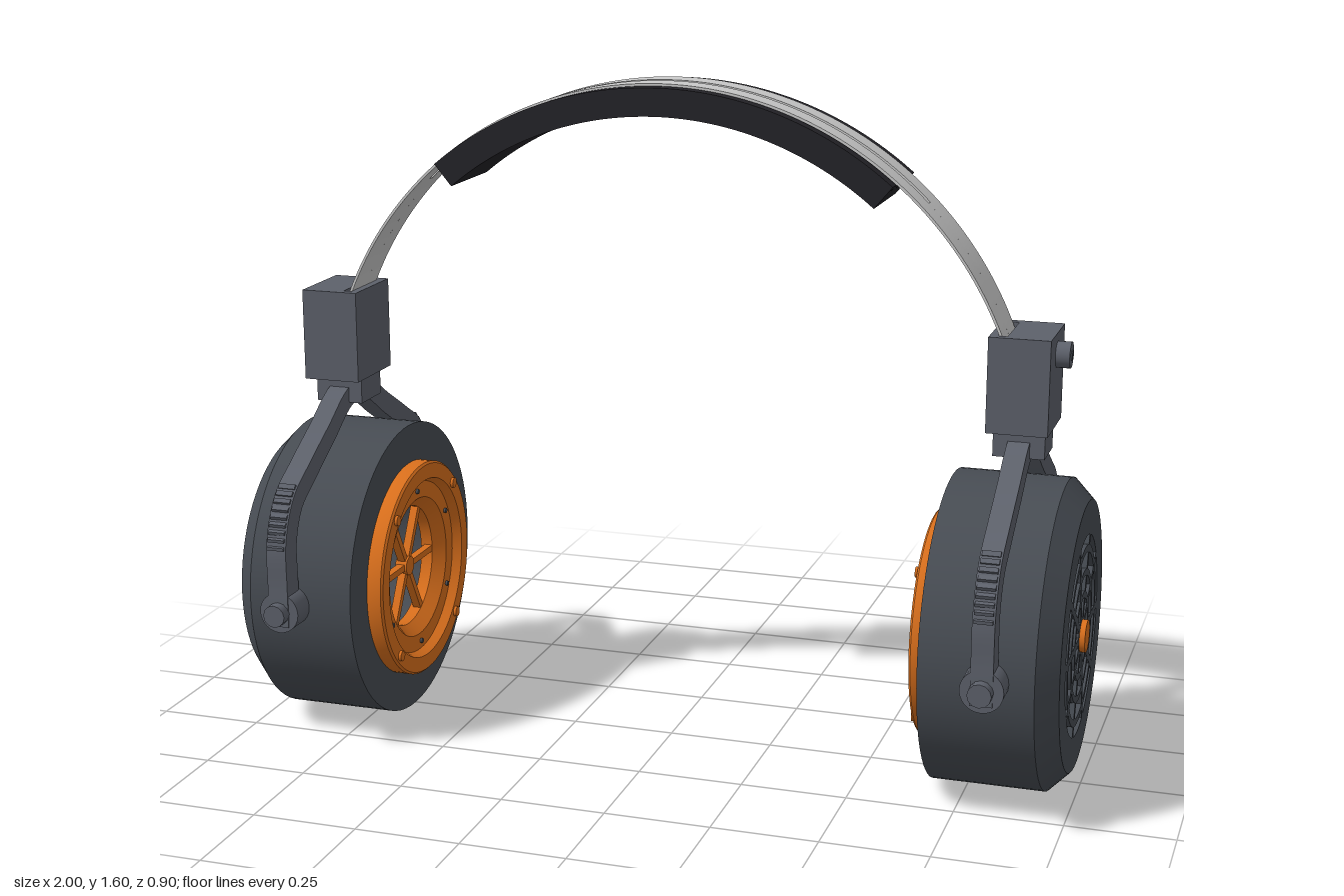
import * as THREE from 'three';
import { toCreasedNormals } from 'three/addons/utils/BufferGeometryUtils.js';

const mat = (color) => new THREE.MeshStandardMaterial({ color });
const steel = mat(0xcccccc), shell = mat(0x474c53), bracket = mat(0x5d616b);
const orange = mat(0xd96f1c), padding = mat(0x242328);
const CY = 0.363; // height of the ear cup axis

function add(parent, name, geo, material, x = 0, y = 0, z = 0) {
  const mesh = new THREE.Mesh(geo, material);
  mesh.name = name;
  mesh.position.set(x, y, z);
  parent.add(mesh);
  return mesh;
}

const box = (w, h, d) => new THREE.BoxGeometry(w, h, d);

// Solid of revolution about the x axis from closed [radius, x] points
function latheX(points) {
  const pts = [...points, points[0]].map(([r, x]) => new THREE.Vector2(r, x));
  return toCreasedNormals(new THREE.LatheGeometry(pts, 72).rotateZ(-Math.PI / 2), 0.4);
}

// Cylinder lying along x or z
const rodX = (r, len, n = 24) => new THREE.CylinderGeometry(r, r, len, n).rotateZ(Math.PI / 2);
const rodZ = (r, len, n = 24) => new THREE.CylinderGeometry(r, r, len, n).rotateX(Math.PI / 2);

// Extrudes a flat shape along +x, starting at x = 0
function extrudeX(shape, depth, curveSegments = 12) {
  const geo = new THREE.ExtrudeGeometry(shape, { depth, bevelEnabled: false, curveSegments });
  return toCreasedNormals(geo.rotateY(Math.PI / 2), 0.4);
}

// Piece of the headband: radii r0-r1, angles from the top in degrees, z range
function arcStrip(r0, r1, a0, a1, z0, z1) {
  const s = THREE.MathUtils.degToRad(90 - a1), e = THREE.MathUtils.degToRad(90 - a0);
  const shape = new THREE.Shape();
  shape.absarc(0, 0, r1, s, e, false);
  shape.absarc(0, 0, r0, e, s, true);
  const geo = new THREE.ExtrudeGeometry(shape, { depth: z1 - z0, bevelEnabled: false, curveSegments: 48 });
  return toCreasedNormals(geo.translate(0, 0.74, z0), 0.4);
}

// Front disc pierced by rings of slots between ten spokes
function grilleGeometry() {
  const disc = new THREE.Shape().absarc(0, 0, 0.315, 0, Math.PI * 2, false);
  const step = Math.PI / 5, half = 0.009;
  for (const [r0, r1] of [[0.045, 0.088], [0.103, 0.14], [0.155, 0.193], [0.21, 0.234]]) {
    for (let i = 0; i < 10; i++) {
      const a = i * step, b = a + step, d0 = half / r0, d1 = half / r1;
      const hole = new THREE.Path();
      hole.absarc(0, 0, r1, a + d1, b - d1, false);
      hole.absarc(0, 0, r0, b - d0, a + d0, true);
      disc.holes.push(hole);
    }
  }
  return extrudeX(disc, 0.03, 10);
}

function buildCup() {
  const cup = new THREE.Group();
  cup.name = 'earCup';
  cup.position.y = CY;
  add(cup, 'cupShell', latheX([
    [0.25, 0.68], [0.362, 0.68], [0.362, 0.94], [0.315, 0.987], [0.3, 0.987], [0.3, 0.957], [0.25, 0.957],
  ]), shell);
  add(cup, 'grille', grilleGeometry(), shell, 0.957);
  add(cup, 'hubCap', rodX(0.038, 0.045), orange, 0.9775);
  // Driver plate facing the ear
  add(cup, 'driverPlate', latheX([
    [0.15, 0.72], [0.15, 0.69], [0.175, 0.662], [0.215, 0.662], [0.225, 0.64],
    [0.262, 0.64], [0.267, 0.645], [0.267, 0.69], [0.255, 0.72],
  ]), orange);
  for (let i = 0; i < 3; i++)
    add(cup, 'driverSpoke', box(0.02, 0.016, 0.31), orange, 0.7).rotation.x = i * Math.PI / 3;
  add(cup, 'driverHub', rodX(0.024, 0.03), orange, 0.7);
  for (let i = 0; i < 4; i++) {
    const a = (i + 0.5) * Math.PI / 2;
    add(cup, 'plateScrew', rodX(0.013, 0.01, 12), orange, 0.638, 0.244 * Math.sin(a), 0.244 * Math.cos(a));
  }
  for (let i = 0; i < 6; i++) {
    const a = (i + 0.5) * Math.PI / 3;
    add(cup, 'plateRivet', rodX(0.006, 0.008, 10), shell, 0.66, 0.195 * Math.sin(a), 0.195 * Math.cos(a));
  }
  return cup;
}

function buildYoke() {
  const yoke = new THREE.Group();
  yoke.name = 'yoke';
  const half = [[0.395, 0.33], [0.395, 0.43], [0.393, 0.53], [0.352, 0.615], [0.27, 0.67], [0.16, 0.735], [0.05, 0.8]];
  const pts = [...half, ...half.map(([z, y]) => [-z, y]).reverse()].map(([z, y]) => new THREE.Vector2(z, y));
  const curve = new THREE.SplineCurve(pts);
  // Offset the centre line to both sides to get the strap outline
  const offset = (u, d) => {
    const p = curve.getPointAt(u), t = curve.getTangentAt(u);
    return new THREE.Vector2(p.x + t.y * d, p.y - t.x * d);
  };
  const us = Array.from({ length: 81 }, (_, i) => i / 80);
  const width = (u) => 0.025 + 0.005 * Math.abs(2 * u - 1);
  const outline = [...us.map((u) => offset(u, width(u))), ...us.slice().reverse().map((u) => offset(u, -width(u)))];
  add(yoke, 'yokeStrap', extrudeX(new THREE.Shape(outline), 0.05), bracket, 0.81);
  for (const side of [1, -1]) {
    // Grip ridges round the bend
    for (let i = 0; i < 9; i++) {
      const u = 0.135 + i * 0.0115, p = offset(u, 0.029), t = curve.getTangentAt(u);
      const ridge = add(yoke, 'gripRidge', box(0.042, 0.008, 0.012), bracket, 0.835, p.y, side * p.x);
      ridge.rotation.x = -side * Math.atan2(t.x, t.y);
    }
    // Pivot at the side of the cup
    add(yoke, 'pivotBoss', rodZ(0.049, 0.062), bracket, 0.835, CY, side * 0.391);
    add(yoke, 'pivotPin', rodZ(0.03, 0.04), bracket, 0.835, CY, side * 0.36);
    add(yoke, 'pivotScrew', rodZ(0.027, 0.03, 12), bracket, 0.835, CY, side * 0.435);
  }
  return yoke;
}

// Clamp that holds the band end, with a slot open at the top
function buildClamp() {
  const clamp = new THREE.Group();
  clamp.name = 'bandClamp';
  add(clamp, 'clampBody', box(0.1, 0.22, 0.19), bracket, 0.855, 0.96);
  add(clamp, 'clampPlate', box(0.02, 0.22, 0.15), bracket, 0.775, 0.96);
  for (const s of [1, -1]) add(clamp, 'clampLip', box(0.04, 0.22, 0.02), bracket, 0.785, 0.96, s * 0.085);
  add(clamp, 'clampFloor', box(0.04, 0.04, 0.15), bracket, 0.785, 0.87);
  add(clamp, 'swivelCollar', box(0.118, 0.065, 0.11), bracket, 0.835, 0.82);
  add(clamp, 'clampScrew', rodX(0.03, 0.04), bracket, 0.917, 1.02);
  add(clamp, 'screwCentre', rodX(0.012, 0.006, 6), shell, 0.937, 1.02);
  return clamp;
}

function buildHeadband() {
  const band = new THREE.Group();
  band.name = 'headband';
  // Steel band with a long slot down the middle
  for (const s of [1, -1]) {
    const [z0, z1] = s > 0 ? [0.008, 0.07] : [-0.07, -0.008];
    add(band, 'bandStrip', arcStrip(0.851, 0.857, -70, 70, z0, z1), steel);
    const [a0, a1] = s > 0 ? [45, 70] : [-70, -45];
    add(band, 'bandEnd', arcStrip(0.851, 0.857, a0, a1, -0.008, 0.008), steel);
  }
  // Cushion below, with raised edges either side of the band
  add(band, 'cushion', arcStrip(0.787, 0.83, -39.8, 39.8, -0.11, 0.11), padding);
  for (const s of [1, -1]) {
    const edge = s > 0 ? [0.075, 0.11] : [-0.11, -0.075];
    const rib = s > 0 ? [0.012, 0.068] : [-0.068, -0.012];
    add(band, 'cushionEdge', arcStrip(0.829, 0.852, -39.8, 39.8, ...edge), padding);
    add(band, 'cushionRib', arcStrip(0.829, 0.851, -39.8, 39.8, ...rib), padding);
  }
  return band;
}

export function createModel() {
  const model = new THREE.Group();
  model.name = 'headphones';
  model.add(buildHeadband());
  // The right side is the left side turned half way round
  for (const [name, turn] of [['leftSide', 0], ['rightSide', Math.PI]]) {
    const side = new THREE.Group();
    side.name = name;
    side.add(buildCup(), buildYoke(), buildClamp());
    side.rotation.y = turn;
    model.add(side);
  }
  return model;
}
